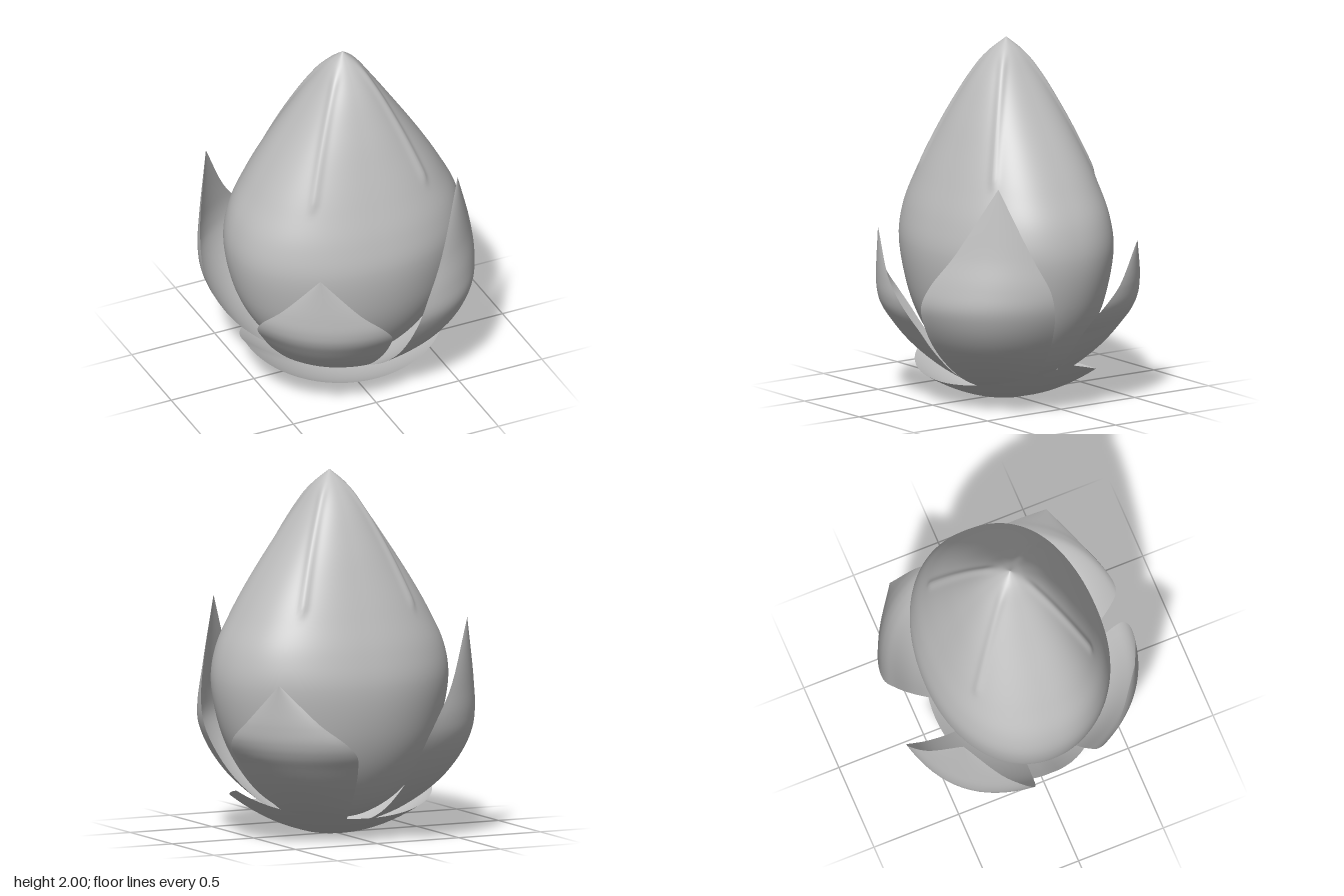
import * as THREE from 'three';
import { mergeVertices } from 'three/addons/utils/BufferGeometryUtils.js';

const grey = new THREE.MeshStandardMaterial({ color: 0xc0c0c0, side: THREE.DoubleSide });
grey.name = 'pale grey';

// Smooth surface from a rule: u runs around or across, v runs from base to top
function surface(name, cols, rows, rule) {
  const pos = [], index = [];
  for (let i = 0; i <= rows; i++)
    for (let j = 0; j <= cols; j++) pos.push(...rule(j / cols, i / rows));
  for (let i = 0; i < rows; i++)
    for (let j = 0; j < cols; j++) {
      const a = i * (cols + 1) + j, b = a + cols + 1;
      index.push(a, a + 1, b + 1, a, b + 1, b);
    }
  let geo = new THREE.BufferGeometry();
  geo.setAttribute('position', new THREE.Float32BufferAttribute(pos, 3));
  geo.setIndex(index);
  geo = mergeVertices(geo, 1e-5);
  geo.computeVertexNormals();
  const mesh = new THREE.Mesh(geo, grey);
  mesh.name = name;
  return mesh;
}

const spline = (pts) => new THREE.CatmullRomCurve3(pts.map((p) => new THREE.Vector3(...p)));

// Closed bud: half width in x, height, half depth in z
const budProfile = spline([
  [0.001, 0.08, 0.001], [0.2, 0.11, 0.16], [0.39, 0.22, 0.3], [0.535, 0.4, 0.415], [0.625, 0.6, 0.482],
  [0.668, 0.85, 0.51], [0.637, 1.03, 0.48], [0.545, 1.22, 0.42], [0.44, 1.4, 0.355], [0.31, 1.6, 0.275],
  [0.175, 1.8, 0.175], [0.08, 1.93, 0.08], [0.001, 2, 0.001],
]);

function budPoint(u, v) {
  const p = budProfile.getPoint(v), phi = u * Math.PI * 2;
  const s = Math.sin(phi), c = Math.cos(phi);
  // Slightly squared section, squarer towards the top
  const n = 2.07 + 0.38 * THREE.MathUtils.smoothstep(p.y, 0.6, 1.4);
  let r = (Math.abs(s / p.x) ** n + Math.abs(c / p.z) ** n) ** (-1 / n);
  // Four raised seams running down from the tip
  const fromSeam = Math.abs((phi % (Math.PI / 2)) - Math.PI / 4) * r;
  const fade = THREE.MathUtils.smoothstep(p.y, 1.23, 1.3) * (1 - THREE.MathUtils.smoothstep(p.y, 1.86, 1.97));
  r += 0.012 * fade * Math.exp(-((fromSeam / 0.022) ** 2));
  return [0.025 + r * s, p.y, 0.02 + r * c];
}

// Sepal stations from base to tip: height, reach of the midrib and rim, half width
const heights = [0.05, 0.15, 0.3, 0.45, 0.6, 0.72, 0.9, 1.285];
const midReach = [0.12, 0.35, 0.55, 0.665, 0.725, 0.735, 0.725, 0.7];
const rimReach = [0.12, 0.3, 0.44, 0.53, 0.595, 0.635, 0.675, 0.7];
const halfWidth = [0.1, 0.2, 0.295, 0.35, 0.37, 0.335, 0.22, 0.001];

// The body points along an angle from the front; the upper half leans to the given tip
function sepal(name, degrees, reach, [tipX, tipY, tipZ]) {
  const a = THREE.MathUtils.degToRad(degrees), s = Math.sin(a), c = Math.cos(a);
  const stretch = (tipY - 0.4) / 0.885;
  const levels = heights.map((y) => (y < 0.4 ? y : 0.4 + (y - 0.4) * stretch));
  const midrib = spline(levels.map((y, i) => [midReach[i], y, 0]));
  const rim = spline(levels.map((y, i) => [rimReach[i], y, halfWidth[i]]));
  const leanX = tipX - 0.7 * reach * s, leanZ = tipZ - 0.7 * reach * c;
  return surface(name, 16, 36, (u, v) => {
    const m = midrib.getPoint(v), e = rim.getPoint(v), k = 2 * u - 1;
    const r = reach * THREE.MathUtils.lerp(m.x, e.x, k * k);
    const t = k * Math.max(e.z, 0);
    const lean = THREE.MathUtils.clamp((v - 0.55) / 0.45, 0, 1) ** 1.3;
    return [
      r * s + t * c + lean * leanX,
      THREE.MathUtils.lerp(m.y, e.y, k * k),
      r * c - t * s + lean * leanZ,
    ];
  });
}

// Shallow saddle-shaped leaf under the bud, its ends turned up at left and right
function cupPoint(u, v) {
  const phi = u * Math.PI * 2, s = Math.sin(phi), c = Math.cos(phi);
  const edge = 0.13 + 0.135 * (1 - Math.abs(c) ** 1.2);
  return [0.018 + 0.578 * v * s, edge * v * v, 0.02 + 0.443 * v * c];
}

export function createModel() {
  const model = new THREE.Group();
  model.name = 'flowerBud';
  model.add(
    surface('bud', 240, 72, budPoint),
    sepal('frontLeftSepal', 44, 1.05, [0.52, 1.285, 0.44]),
    sepal('frontRightSepal', -32, 0.95, [-0.38, 0.945, 0.59]),
    sepal('backLeftSepal', 130, 0.96, [0.58, 0.9, -0.46]),
    sepal('backRightSepal', -132, 1.04, [-0.555, 1.21, -0.495]),
    surface('baseLeaf', 64, 14, cupPoint),
  );
  return model;
}
